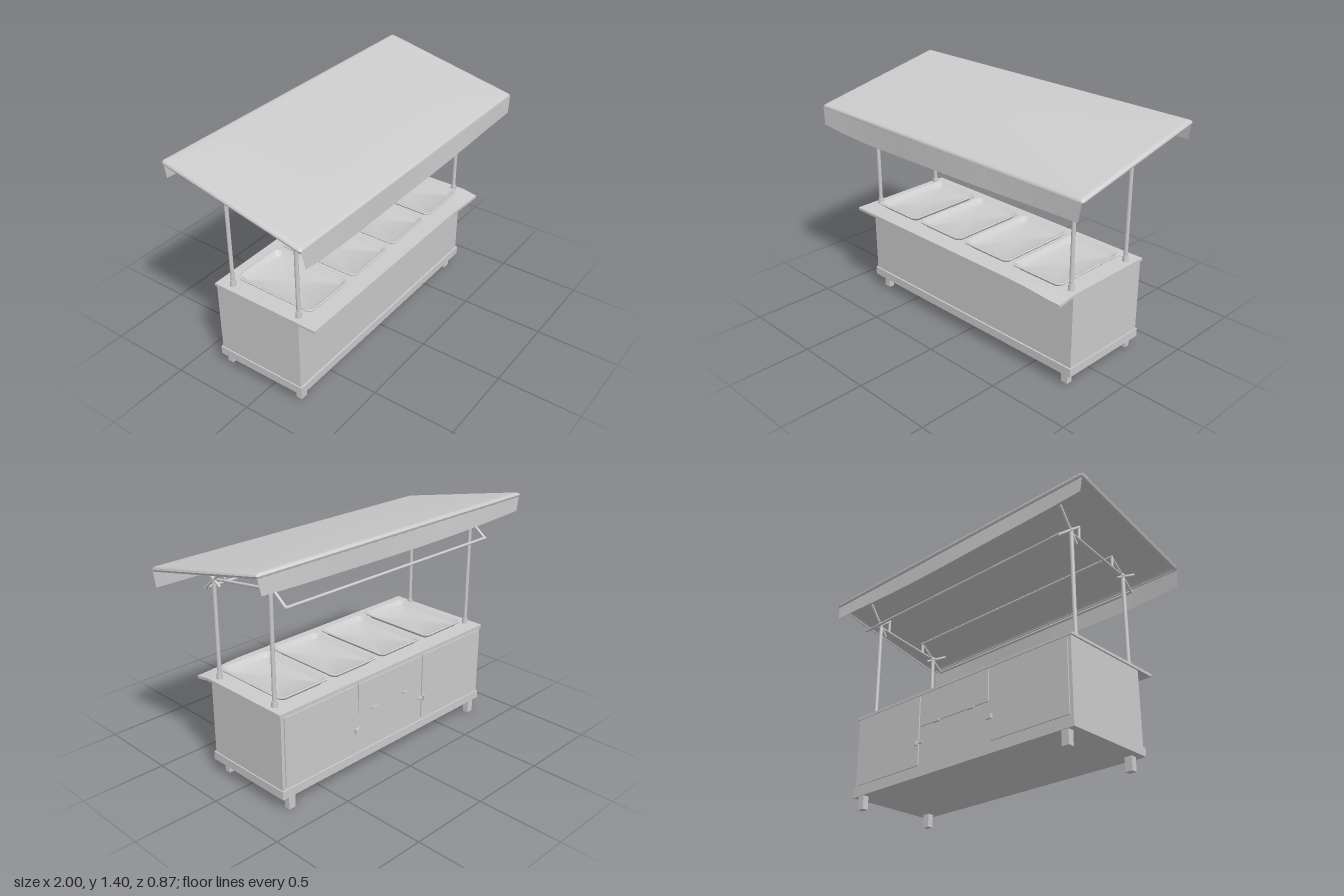
import * as THREE from 'three';
import { toCreasedNormals } from 'three/addons/utils/BufferGeometryUtils.js';

const material = new THREE.MeshStandardMaterial({ color: 0xcccccc });
const sheetMaterial = new THREE.MeshStandardMaterial({ color: 0xcccccc, side: THREE.DoubleSide });

function add(parent, name, geometry, x = 0, y = 0, z = 0, mat = material) {
  const mesh = new THREE.Mesh(geometry, mat);
  mesh.name = name;
  mesh.position.set(x, y, z);
  parent.add(mesh);
  return mesh;
}

// Box given by its minimum and maximum corners
function box(parent, name, [x0, y0, z0], [x1, y1, z1]) {
  const g = new THREE.BoxGeometry(x1 - x0, y1 - y0, z1 - z0);
  return add(parent, name, g, (x0 + x1) / 2, (y0 + y1) / 2, (z0 + z1) / 2);
}

// Round rod between two points
function rod(parent, name, a, b, radius) {
  const from = new THREE.Vector3(...a), to = new THREE.Vector3(...b);
  const dir = to.clone().sub(from);
  const mesh = add(parent, name, new THREE.CylinderGeometry(radius, radius, dir.length(), 12));
  mesh.position.copy(from).add(to).multiplyScalar(0.5);
  mesh.quaternion.setFromUnitVectors(new THREE.Vector3(0, 1, 0), dir.normalize());
  return mesh;
}

// Open sheet lofted through rounded rectangles [halfX, halfZ, y, radius], closed at the last one
function loftSheet(loops, cornerSteps = 6) {
  const positions = [], index = [];
  const n = 4 * (cornerSteps + 1);
  for (const [hx, hz, y, r] of loops) {
    for (let c = 0; c < 4; c++) {
      const sx = c === 0 || c === 3 ? 1 : -1, sz = c < 2 ? 1 : -1;
      for (let i = 0; i <= cornerSteps; i++) {
        const t = (c + i / cornerSteps) * Math.PI / 2;
        positions.push(sx * (hx - r) + r * Math.cos(t), y, sz * (hz - r) + r * Math.sin(t));
      }
    }
  }
  const last = (loops.length - 1) * n;
  positions.push(0, loops[loops.length - 1][2], 0);
  for (let k = 0; k < loops.length - 1; k++) {
    for (let i = 0; i < n; i++) {
      const j = (i + 1) % n, a = k * n + i, b = k * n + j;
      index.push(a, a + n, b, b, a + n, b + n);
    }
  }
  for (let i = 0; i < n; i++) index.push(last + i, last + n, last + (i + 1) % n);
  const g = new THREE.BufferGeometry();
  g.setAttribute('position', new THREE.Float32BufferAttribute(positions, 3));
  g.setIndex(index);
  return toCreasedNormals(g, 0.7);
}

// Hanging cloth strip: sag(x) gives the lower edge, lean moves it outward
function valance(name, parent, topY, z, lean, sag) {
  const g = new THREE.PlaneGeometry(1.99, 1, 40, 4);
  const p = g.attributes.position;
  for (let i = 0; i < p.count; i++) {
    const x = p.getX(i), t = 0.5 - p.getY(i);
    const ripple = 0.003 * Math.sin(x * 5) * t;
    p.setXYZ(i, x * (1 - 0.017 * t), topY + (sag(x) - topY) * t, z + lean * t + ripple);
  }
  g.computeVertexNormals();
  return add(parent, name, g, 0, 0, 0, sheetMaterial);
}

function buildCabinet(parent) {
  const cabinet = new THREE.Group();
  cabinet.name = 'cabinet';
  parent.add(cabinet);
  box(cabinet, 'body', [-0.81, 0.13, -0.334], [0.81, 0.566, 0.23]);
  box(cabinet, 'plinth', [-0.817, 0.08, -0.342], [0.817, 0.13, 0.24]);
  for (const x of [-0.755, 0.75]) {
    for (const z of [0.187, -0.319]) {
      box(cabinet, 'leg', [x - 0.022, 0, z - 0.018], [x + 0.022, 0.08, z + 0.018]);
    }
  }

  // Counter top, with the front overhang drooping towards one corner
  const g = new THREE.BoxGeometry(1.638, 0.016, 0.685, 24, 1, 16);
  const p = g.attributes.position;
  for (let i = 0; i < p.count; i++) {
    const sx = THREE.MathUtils.smoothstep(p.getX(i), 0.5, 0.82);
    const sz = THREE.MathUtils.smoothstep(p.getZ(i), 0.24, 0.3425);
    p.setY(i, p.getY(i) - 0.016 * sx * sz);
  }
  g.computeVertexNormals();
  add(cabinet, 'counterTop', g, 0, 0.573, 0.003);

  // Two side doors and a hinged flap on the back
  for (const s of [-1, 1]) {
    const x0 = s > 0 ? 0.272 : -0.79, x1 = s > 0 ? 0.79 : -0.272;
    box(cabinet, 'door', [x0, 0.148, -0.341], [x1, 0.555, -0.33]);
    box(cabinet, 'latchPlate', [s * 0.267 - 0.025, 0.272, -0.345], [s * 0.267 + 0.025, 0.286, -0.335]);
    box(cabinet, 'latchHandle', [s * 0.282 - 0.007, 0.265, -0.357], [s * 0.282 + 0.007, 0.292, -0.341]);
    box(cabinet, 'flapHinge', [s * 0.13 - 0.025, 0.365, -0.348], [s * 0.13 + 0.025, 0.378, -0.336]);
  }
  box(cabinet, 'flap', [-0.258, 0.372, -0.341], [0.258, 0.555, -0.33]);
}

function buildTrays(parent) {
  const g = loftSheet([
    [0.172, 0.256, 0.603, 0.035], [0.174, 0.258, 0.609, 0.036], [0.168, 0.252, 0.612, 0.034],
    [0.160, 0.244, 0.609, 0.032], [0.145, 0.228, 0.588, 0.03], [0.138, 0.222, 0.585, 0.028]
  ]);
  // Outer shell tapers down to the counter
  const shell = loftSheet([[0.165, 0.25, 0.605, 0.034], [0.145, 0.23, 0.58, 0.03]]);
  for (let i = 0; i < 4; i++) {
    const x = (i - 1.5) * 0.376;
    add(parent, 'tray', g, x, 0, 0, sheetMaterial);
    add(parent, 'trayShell', shell, x, 0, 0, sheetMaterial);
  }
}

function buildFrame(parent) {
  const frame = new THREE.Group();
  frame.name = 'canopyFrame';
  parent.add(frame);
  // Each brace is [y, z] to [y, z] in the side plane
  const braces = [
    [[1.085, 0.28], [1.233, 0.107]], [[1.12, 0.152], [1.21, 0.315]], [[1.233, 0.11], [1.165, 0.11]],
    [[1.158, 0.17], [1.216, -0.24]],
    [[1.167, -0.205], [1.352, -0.335]], [[1.152, -0.358], [1.29, -0.175]], [[1.288, -0.18], [1.21, -0.18]]
  ];
  for (const s of [-1, 1]) {
    const x = s * 0.773;
    for (const [z, top] of [[0.205, 1.155], [-0.247, 1.235]]) {
      rod(frame, 'post', [x, 0.58, z], [x, top, z], 0.0115);
      add(frame, 'postCollar', new THREE.CylinderGeometry(0.015, 0.018, 0.036, 16), x, 0.598, z);
      add(frame, 'joint', new THREE.SphereGeometry(0.015, 12, 8), x, top, z);
    }
    for (const [[y0, z0], [y1, z1]] of braces) rod(frame, 'brace', [x, y0, z0], [x, y1, z1], 0.008);
  }
  for (const [y, z] of [[1.085, 0.28], [1.233, 0.107], [1.152, -0.358]]) {
    rod(frame, 'crossRail', [-0.78, y, z], [0.78, y, z], 0.008);
  }
}

function buildCanopy(parent) {
  const canopy = new THREE.Group();
  canopy.name = 'canopy';
  parent.add(canopy);
  // Sloping cover with a rolled rim
  const cover = loftSheet([
    [0.985, 0.424, -0.029, 0.012], [0.995, 0.434, -0.026, 0.014], [1.0, 0.439, -0.016, 0.015],
    [0.997, 0.436, -0.007, 0.015], [0.988, 0.427, -0.001, 0.014], [0.97, 0.41, 0, 0.012]
  ]);
  add(canopy, 'cover', cover, 0, 1.309, 0, sheetMaterial).rotation.x = 0.209;

  const frontSag = x => x < -0.45
    ? 1.075 + 0.025 * ((x + 0.45) / 0.54) ** 2
    : 1.075 + 0.025 * THREE.MathUtils.smoothstep(x, -0.6, 1.1);
  valance('frontValance', canopy, 1.207, 0.424, 0.006, frontSag);
  valance('backValance', canopy, 1.385, -0.423, -0.005, x => 1.268 + 0.02 * x * x);
}

export function createModel() {
  const model = new THREE.Group();
  model.name = 'foodStall';
  buildCabinet(model);
  buildTrays(model);
  buildFrame(model);
  buildCanopy(model);
  return model;
}
